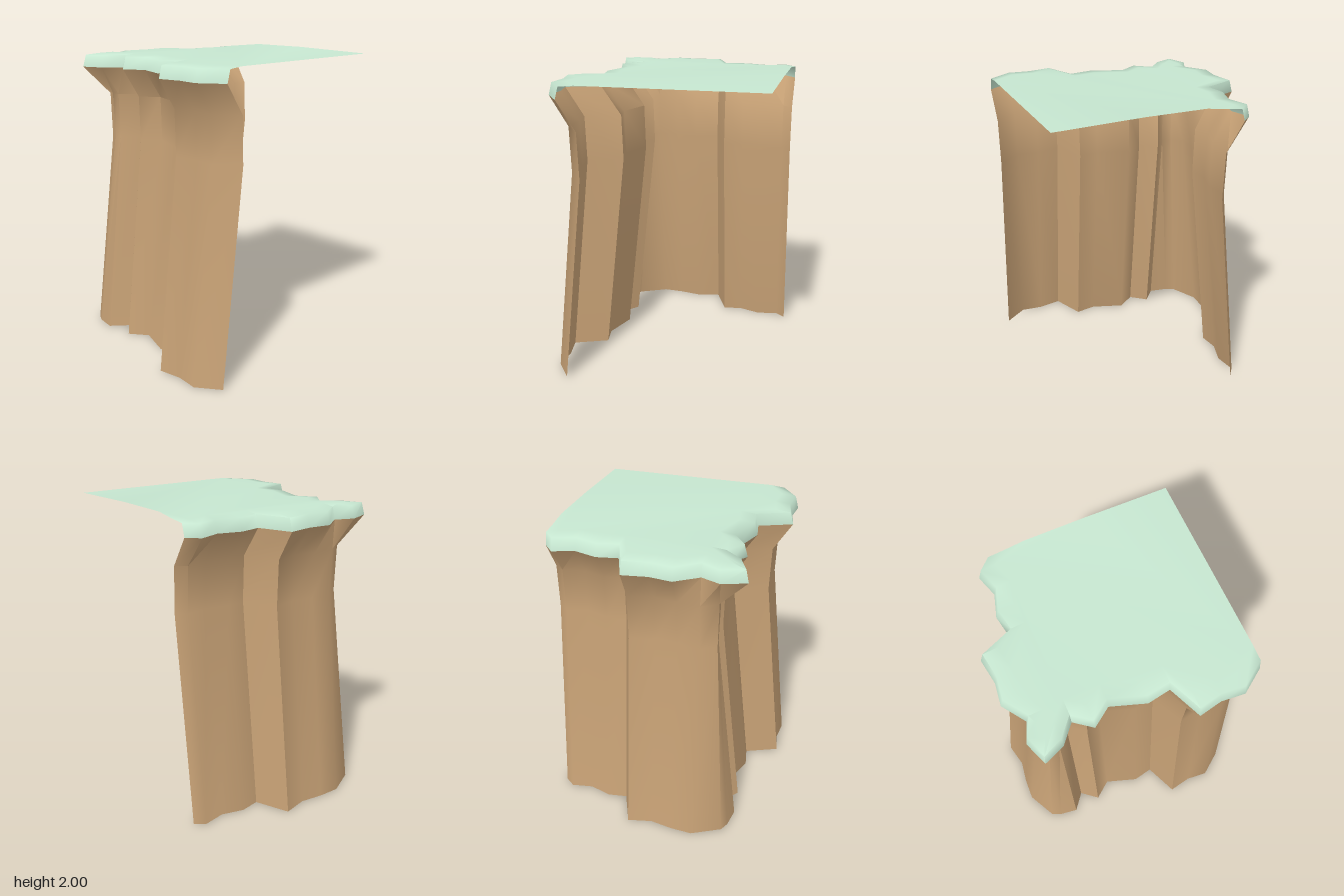
import * as THREE from 'three';
import { toCreasedNormals } from 'three/addons/utils/BufferGeometryUtils.js';

// Cliff outline from the back, round the corner, to the right-hand edge:
// foot x, foot z, lip x, lip z
const outline = [
  [-0.49, -0.72, -0.46, -0.72], [-0.54, -0.655, -0.535, -0.65], [-0.515, -0.51, -0.49, -0.51],
  [-0.56, -0.365, -0.535, -0.36], [-0.54, -0.235, -0.51, -0.22], [-0.76, -0.14, -0.72, -0.135],
  [-0.725, 0.02, -0.695, 0.03], [-0.75, 0.17, -0.715, 0.175], [-0.757, 0.315, -0.615, 0.32],
  [-0.66, 0.505, -0.665, 0.445], [-0.6, 0.535, -0.61, 0.595], [-0.47, 0.555, -0.475, 0.54],
  [-0.38, 0.445, -0.38, 0.43], [-0.27, 0.535, -0.27, 0.515], [-0.15, 0.445, -0.15, 0.43],
  [0.07, 0.52, 0.07, 0.505], [0.21, 0.495, 0.22, 0.48], [0.305, 0.718, 0.31, 0.695],
  [0.46, 0.69, 0.46, 0.665], [0.61, 0.705, 0.61, 0.68], [0.76, 0.595, 0.76, 0.575],
];

// Inward direction: side wall leans along x, front wall along z, the corner along both
const inward = outline.map((p, i) =>
  i < 9 ? [1, 0] : i === 9 ? [0.75, -0.6] : i === 10 ? [0.4, -0.9] : [0, -1]);

// One cross-section of the cliff, moved inwards at height y
function ring(y, inset, lip) {
  return outline.map((p, i) => new THREE.Vector3(
    (lip ? p[2] : p[0]) + inward[i][0] * inset, y, (lip ? p[3] : p[1]) + inward[i][1] * inset));
}

// Skin between successive rings, from the lowest to the highest
function loft(rings) {
  const tris = [];
  for (let r = 0; r < rings.length - 1; r++) {
    const lo = rings[r], hi = rings[r + 1];
    for (let i = 0; i < lo.length - 1; i++) {
      tris.push(lo[i], lo[i + 1], hi[i + 1], lo[i], hi[i + 1], hi[i]);
    }
  }
  return tris;
}

function makeMesh(name, tris, material, crease) {
  const geometry = new THREE.BufferGeometry().setFromPoints(tris);
  const mesh = new THREE.Mesh(toCreasedNormals(geometry, crease), material);
  mesh.name = name;
  return mesh;
}

export function createModel() {
  const earth = new THREE.MeshStandardMaterial({ color: 0xc8a276, side: THREE.DoubleSide });
  earth.name = 'earth';
  const grass = new THREE.MeshStandardMaterial({ color: 0xc6e6d0, side: THREE.DoubleSide });
  grass.name = 'grass';

  const group = new THREE.Group();
  group.name = 'cliffCorner';

  // Rock wall: leans in, stands upright near the top, then flares out under the lip
  const lipEdge = ring(1.89, 0, true);
  const wall = loft([ring(0, 0), ring(1.4, 0.155), ring(1.7, 0.146), lipEdge]);
  group.add(makeMesh('cliffWall', wall, earth, 1.0));

  // Grass lip with a rounded shoulder
  const shoulder = ring(1.98, 0.12, true);
  const turf = loft([lipEdge, ring(1.97, 0.022, true), shoulder]);

  // Grass top, rising gently towards the back edge
  const top = [...shoulder,
    new THREE.Vector3(0.76, 1.985, -0.72),
    new THREE.Vector3(0.2, 2, -0.72),
    new THREE.Vector3(-0.2, 2, -0.72)];
  const flat = top.map((p) => new THREE.Vector2(p.x, -p.z));
  for (const face of THREE.ShapeUtils.triangulateShape(flat, [])) {
    turf.push(...face.map((k) => top[k]));
  }
  group.add(makeMesh('grassTop', turf, grass, 1.35));

  return group;
}
